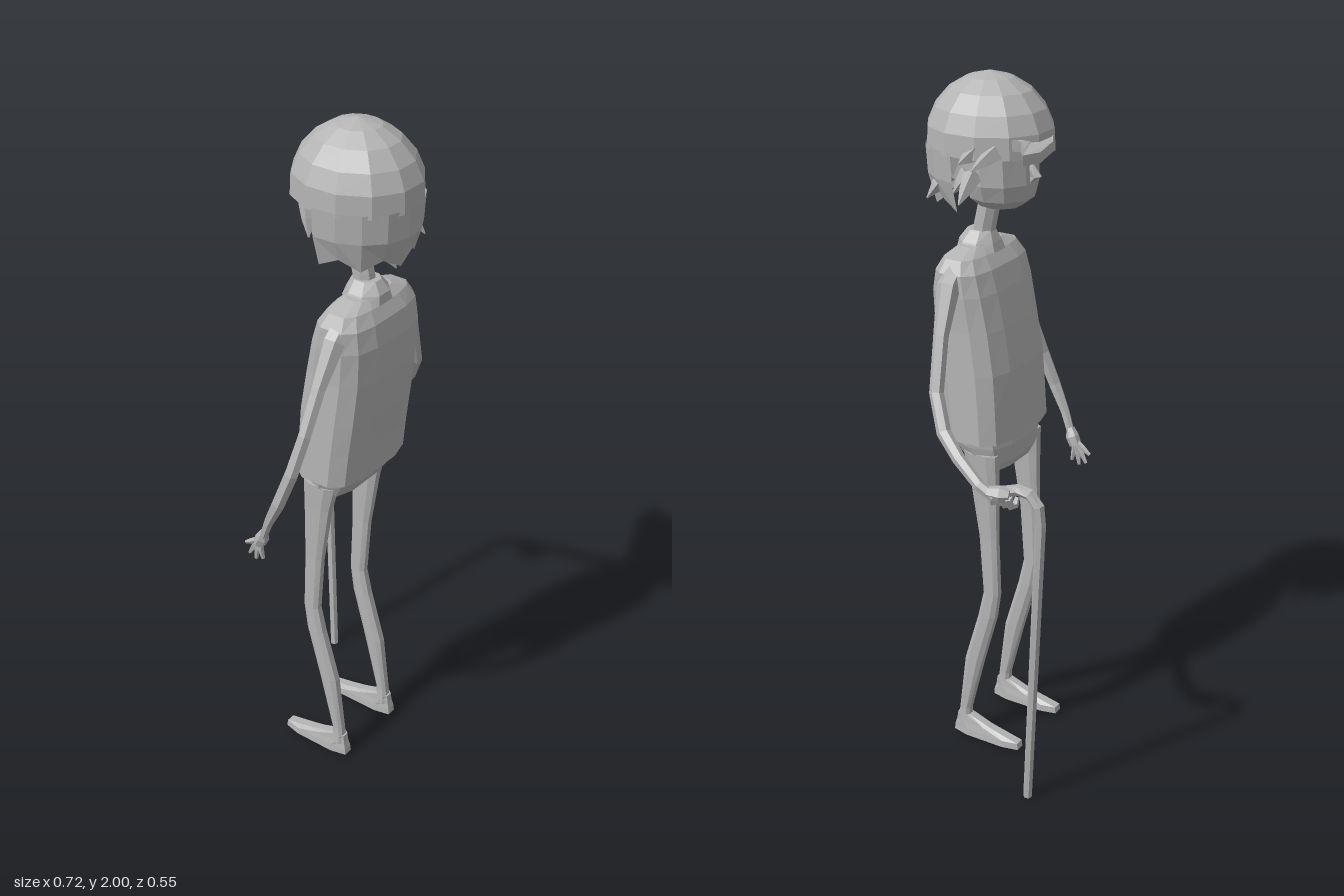
import * as THREE from 'three';

const V = (x, y, z) => new THREE.Vector3(x, y, z);
const spow = (v, e) => Math.sign(v) * Math.pow(Math.abs(v), e);

export function createModel() {
  const group = new THREE.Group();
  const clay = new THREE.MeshStandardMaterial({ color: 0xb4b4b4, flatShading: true, side: THREE.DoubleSide });
  clay.name = 'grey clay';

  const add = (name, geometry) => {
    const mesh = new THREE.Mesh(geometry, clay);
    mesh.name = name;
    group.add(mesh);
    return mesh;
  };

  // Skin a list of equal-sized rings, closed around and capped unless open
  const loft = (name, rings, open = false) => {
    const n = rings[0].length, pos = [], idx = [];
    rings.forEach(r => r.forEach(p => pos.push(p.x, p.y, p.z)));
    for (let j = 0; j < rings.length - 1; j++) {
      for (let i = 0; i < (open ? n - 1 : n); i++) {
        const a = j * n + i, b = j * n + (i + 1) % n;
        idx.push(a, b, b + n, a, b + n, a + n);
      }
    }
    if (!open) {
      const top = (rings.length - 1) * n;
      for (let i = 1; i < n - 1; i++) idx.push(0, i + 1, i, top, top + i, top + i + 1);
    }
    let g = new THREE.BufferGeometry();
    g.setAttribute('position', new THREE.Float32BufferAttribute(pos, 3));
    g.setIndex(idx);
    g = g.toNonIndexed();
    g.computeVertexNormals();
    return add(name, g);
  };

  // Upright body from rows [y, centreX, centreZ, radiusX, radiusZ], bottom to top
  const stack = (name, rows, sides, power = 1) => loft(name, rows.map(([y, cx, cz, rx, rz]) =>
    Array.from({ length: sides }, (_, i) => {
      const a = (i + 0.5) / sides * Math.PI * 2;
      return V(cx + rx * spow(Math.sin(a), power), y, cz + rz * spow(Math.cos(a), power));
    })));

  // Bent limb through points [x, y, z, radius]
  const limb = (name, pts, sides = 6) => {
    const p = pts.map(q => V(q[0], q[1], q[2]));
    const normal = V(0.31, 0.2, 0.9);
    return loft(name, p.map((c, k) => {
      const t = p[Math.min(k + 1, p.length - 1)].clone().sub(p[Math.max(k - 1, 0)]).normalize();
      normal.addScaledVector(t, -normal.dot(t)).normalize();
      const b = t.clone().cross(normal);
      return Array.from({ length: sides }, (_, i) => {
        const a = i / sides * Math.PI * 2;
        return c.clone().addScaledVector(normal, Math.cos(a) * pts[k][3]).addScaledVector(b, Math.sin(a) * pts[k][3]);
      });
    }));
  };

  // Shirt, collar, neck and hips
  stack('shirt', [
    [1.0, -0.03, 0.08, 0.17, 0.1], [1.1, -0.03, 0.088, 0.168, 0.103], [1.2, -0.03, 0.098, 0.166, 0.107],
    [1.32, -0.03, 0.114, 0.163, 0.103], [1.42, -0.03, 0.126, 0.165, 0.093], [1.48, -0.03, 0.13, 0.162, 0.078],
    [1.515, -0.03, 0.132, 0.14, 0.056], [1.535, -0.03, 0.132, 0.08, 0.035],
  ], 12, 0.62);
  stack('collar', [
    [1.515, -0.03, 0.13, 0.075, 0.065], [1.54, -0.03, 0.132, 0.062, 0.058], [1.57, -0.03, 0.128, 0.036, 0.04],
  ], 8);
  limb('neck', [[-0.03, 1.5, 0.13, 0.033], [-0.03, 1.58, 0.117, 0.031], [-0.03, 1.7, 0.09, 0.03]], 8);
  stack('hips', [
    [0.905, -0.025, 0.05, 0.11, 0.045], [0.93, -0.025, 0.06, 0.13, 0.068],
    [0.98, -0.025, 0.075, 0.145, 0.088], [1.02, -0.025, 0.08, 0.15, 0.09],
  ], 10, 0.7);

  // Legs and feet
  for (const x of [-0.138, 0.088]) {
    stack('leg', [
      [0.05, x, 0.125, 0.021, 0.02], [0.1, x, 0.122, 0.017, 0.018], [0.28, x, 0.088, 0.02, 0.03],
      [0.44, x, 0.042, 0.02, 0.029], [0.52, x, 0.027, 0.018, 0.026], [0.7, x, 0.036, 0.017, 0.03],
      [0.88, x, 0.05, 0.022, 0.044], [0.96, x, 0.06, 0.026, 0.055],
    ], 8, 0.75);
    stack('foot', [
      [0.015, x, 0.045, 0.027, 0.117], [0.035, x, 0.045, 0.025, 0.115],
      [0.055, x, 0.087, 0.021, 0.065], [0.08, x, 0.125, 0.018, 0.022],
    ], 8, 0.65);
  }

  // Arms
  limb('rightArm', [
    [-0.14, 1.49, 0.14, 0.03], [-0.185, 1.45, 0.14, 0.032], [-0.245, 1.34, 0.135, 0.021], [-0.3, 1.22, 0.13, 0.019],
    [-0.332, 1.11, 0.11, 0.02], [-0.345, 1.01, 0.075, 0.019], [-0.34, 0.93, 0.035, 0.014], [-0.332, 0.87, 0.01, 0.012],
  ]);
  limb('leftArm', [
    [0.08, 1.49, 0.135, 0.03], [0.135, 1.45, 0.13, 0.032], [0.195, 1.33, 0.117, 0.021], [0.25, 1.19, 0.098, 0.02],
    [0.29, 1.1, 0.05, 0.02], [0.318, 1.05, -0.015, 0.018], [0.338, 1.0, -0.09, 0.016], [0.335, 0.975, -0.135, 0.016],
  ]);

  // Hanging hand with spread fingers
  limb('rightPalm', [[-0.332, 0.885, 0.012, 0.012], [-0.328, 0.86, 0.002, 0.02], [-0.326, 0.835, -0.01, 0.018]]);
  for (const [y, z] of [[0.785, 0.0], [0.775, -0.025], [0.785, -0.048], [0.815, -0.06]]) {
    limb('rightFinger', [[-0.327, 0.85, -0.006, 0.01], [-0.326, (y + 0.845) / 2, (z - 0.012) / 2, 0.009], [-0.324, y, z, 0.005]], 5);
  }

  // Hand wrapped round the cane
  limb('leftPalm', [[0.336, 0.985, -0.115, 0.017], [0.328, 0.985, -0.15, 0.024], [0.322, 0.985, -0.175, 0.016]]);
  for (let i = 0; i < 4; i++) {
    const z = -0.175 + i * 0.018;
    limb('leftFinger', [[0.332, 0.98, z, 0.01], [0.318, 0.95, z, 0.01], [0.295, 0.945, z, 0.01], [0.285, 0.965, z, 0.007]], 5);
  }

  // Cane with bent handle
  limb('cane', [
    [0.305, 0.968, -0.105, 0.015], [0.305, 0.998, -0.19, 0.016], [0.305, 0.994, -0.225, 0.016],
    [0.304, 0.965, -0.252, 0.016], [0.302, 0.91, -0.257, 0.015], [0.265, 0.004, -0.198, 0.013],
  ]);

  // Face and jaw
  stack('face', [
    [1.648, -0.025, 0.065, 0.055, 0.06], [1.675, -0.025, 0.06, 0.092, 0.09],
    [1.72, -0.025, 0.058, 0.11, 0.098], [1.84, -0.025, 0.06, 0.118, 0.1],
  ], 10);
  limb('nose', [[-0.02, 1.775, -0.025, 0.012], [-0.02, 1.74, -0.05, 0.016], [-0.02, 1.725, -0.03, 0.008]], 5);

  // Rounded crown
  stack('crown', [[1.8, 1], [1.86, 0.985], [1.91, 0.86], [1.955, 0.64], [1.985, 0.36], [2.0, 0.03]]
    .map(([y, s]) => [y, -0.035, 0.1, 0.162 * s, 0.18 * s]), 12);

  // Hair hanging round the back and sides
  loft('backHair', [[1.81, 1, 0], [1.73, 0.97, 0], [1.66, 0.84, 0.014]].map(([y, s, jag]) =>
    Array.from({ length: 9 }, (_, i) => {
      const a = (-98 + i * 22.5) * Math.PI / 180;
      return V(-0.035 + 0.162 * s * Math.sin(a), y + (i % 2 ? jag : -jag), 0.1 + 0.18 * s * Math.cos(a));
    })), true);
  const tufts = [
    [[0.09, 1.82, 0.01], [0.165, 1.785, 0.035]], [[0.1, 1.82, 0.06], [0.14, 1.79, 0.09]],
    [[0.085, 1.75, 0.08], [0.165, 1.69, 0.075]], [[0.07, 1.74, 0.17], [0.095, 1.67, 0.22]],
    [[-0.15, 1.8, 0.03], [-0.185, 1.72, 0.06]], [[-0.08, 1.7, 0.2], [-0.06, 1.64, 0.24]],
  ];
  for (const [a, b] of tufts) {
    limb('hairTuft', [[...a, 0.026], [...a.map((v, i) => (v + b[i]) / 2), 0.018], [...b, 0.002]], 4);
  }

  // Swept brim, drawn in x and z then laid flat
  const brim = new THREE.Shape([
    [-0.15, 0.0], [-0.09, -0.06], [-0.03, -0.092], [0.06, -0.108], [0.125, -0.095],
    [0.085, -0.075], [0.06, -0.05], [0.09, 0.0], [-0.03, 0.03],
  ].map(([x, z]) => new THREE.Vector2(x, z)));
  const brimGeometry = new THREE.ExtrudeGeometry(brim, { depth: 0.028, bevelEnabled: false }).rotateX(Math.PI / 2);
  const bp = brimGeometry.attributes.position;
  for (let i = 0; i < bp.count; i++) bp.setY(i, bp.getY(i) + 1.855 - Math.max(0, -bp.getZ(i) - 0.04) * 0.35);
  brimGeometry.computeVertexNormals();
  add('brim', brimGeometry);

  return group;
}
